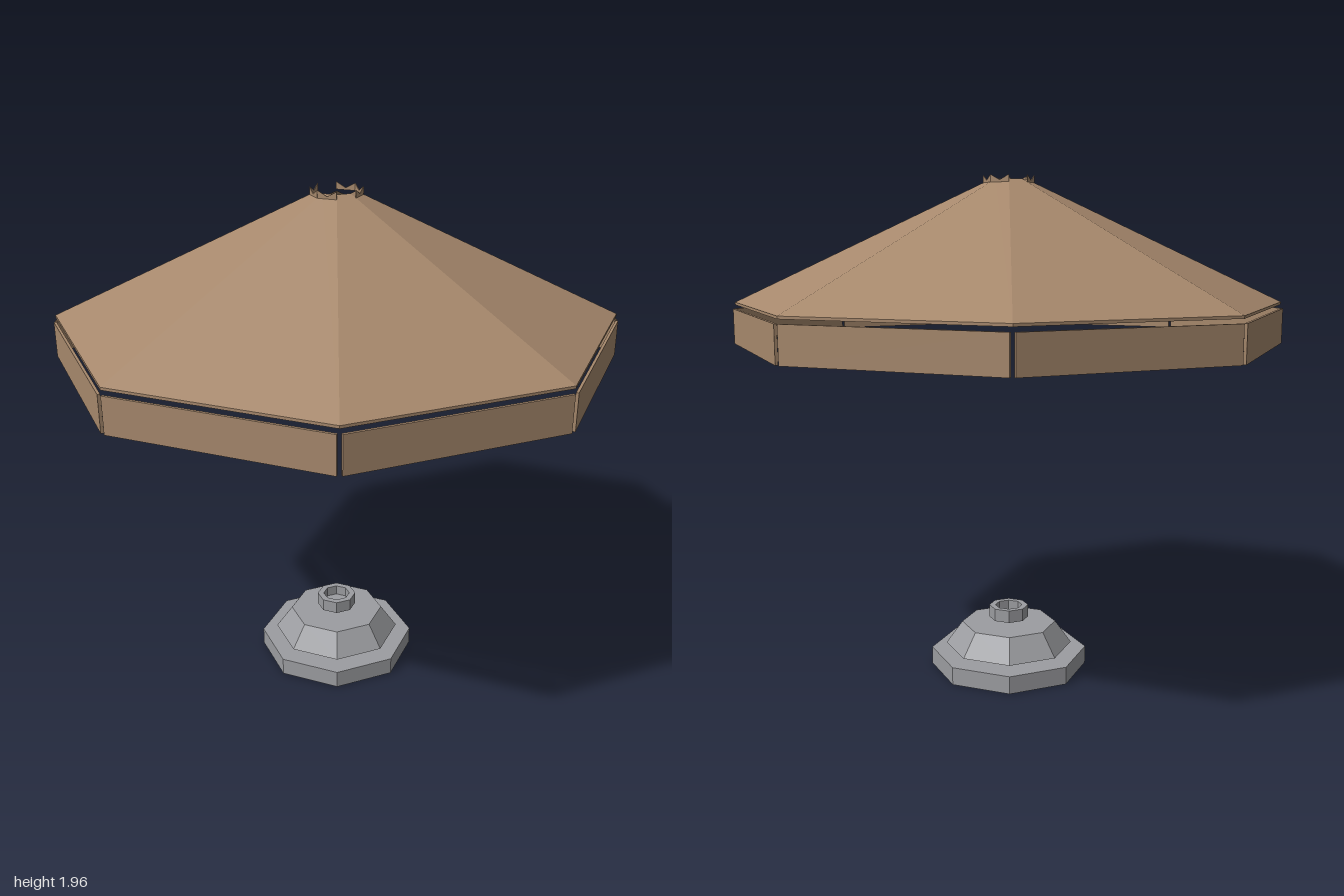
import * as THREE from 'three';

const SIDES = 8;
const TO_CORNER = 1 / Math.cos(Math.PI / SIDES); // flat-to-flat radius -> corner radius

// Octagonal turned part; the profile lists [distance to flat, height], walked with the outside on its right
function octagon(name, profile, material) {
  const points = profile.map(([r, y]) => new THREE.Vector2(r * TO_CORNER, y));
  const geometry = new THREE.LatheGeometry(points, SIDES, Math.PI / SIDES).toNonIndexed();
  geometry.computeVertexNormals();
  const mesh = new THREE.Mesh(geometry, material);
  mesh.name = name;
  return mesh;
}

export function createModel() {
  const fabric = new THREE.MeshStandardMaterial({ color: 0xa6886c });
  fabric.name = 'tan fabric';
  const stone = new THREE.MeshStandardMaterial({ color: 0x9c9da1 });
  stone.name = 'grey base';

  const model = new THREE.Group();
  model.name = 'parasol';

  // Canopy: outer skin with a vent hole, and an underside that faces down
  model.add(octagon('canopy', [[0.98, 1.47], [0.98, 1.48], [0.065, 1.945]], fabric));
  model.add(octagon('canopyUnderside', [[0, 1.945], [0.98, 1.47]], fabric));

  // Valance: one hanging panel for each side
  const valance = new THREE.Group();
  valance.name = 'valance';
  const panelGeometry = new THREE.BoxGeometry(0.8, 0.135, 0.01).translate(0, 1.3875, 0.985);
  for (let i = 0; i < SIDES; i++) {
    const panel = new THREE.Mesh(panelGeometry, fabric);
    panel.name = 'valancePanel';
    panel.rotation.y = (i * Math.PI * 2) / SIDES;
    valance.add(panel);
  }
  model.add(valance);

  // Crown: a pair of upright teeth around the vent, none at front and back
  const crown = new THREE.Group();
  crown.name = 'ventCrown';
  const tooth = new THREE.Shape();
  tooth.moveTo(-0.037, 1.932);
  tooth.lineTo(0.037, 1.932);
  tooth.lineTo(0.037, 1.96);
  tooth.lineTo(0, 1.94);
  tooth.lineTo(-0.037, 1.96);
  const toothGeometry = new THREE.ExtrudeGeometry(tooth, { depth: 0.003, bevelEnabled: false });
  toothGeometry.translate(0, 0, 0.088);
  for (let i = 0; i < SIDES; i++) {
    if (i % 4 === 0) continue;
    const mesh = new THREE.Mesh(toothGeometry, fabric);
    mesh.name = 'crownTooth';
    mesh.rotation.y = (i * Math.PI * 2) / SIDES;
    crown.add(mesh);
  }
  model.add(crown);

  // Weighted base in three separate tiers, the top one hollow
  model.add(octagon('basePlate', [[0, 0], [0.29, 0], [0.29, 0.07], [0, 0.07]], stone));
  model.add(octagon('baseCone', [[0, 0.09], [0.235, 0.09], [0.175, 0.18], [0, 0.18]], stone));
  model.add(octagon('poleCollar',
    [[0, 0.2], [0.073, 0.2], [0.073, 0.25], [0.05, 0.25], [0.05, 0.21], [0, 0.21]], stone));

  return model;
}
